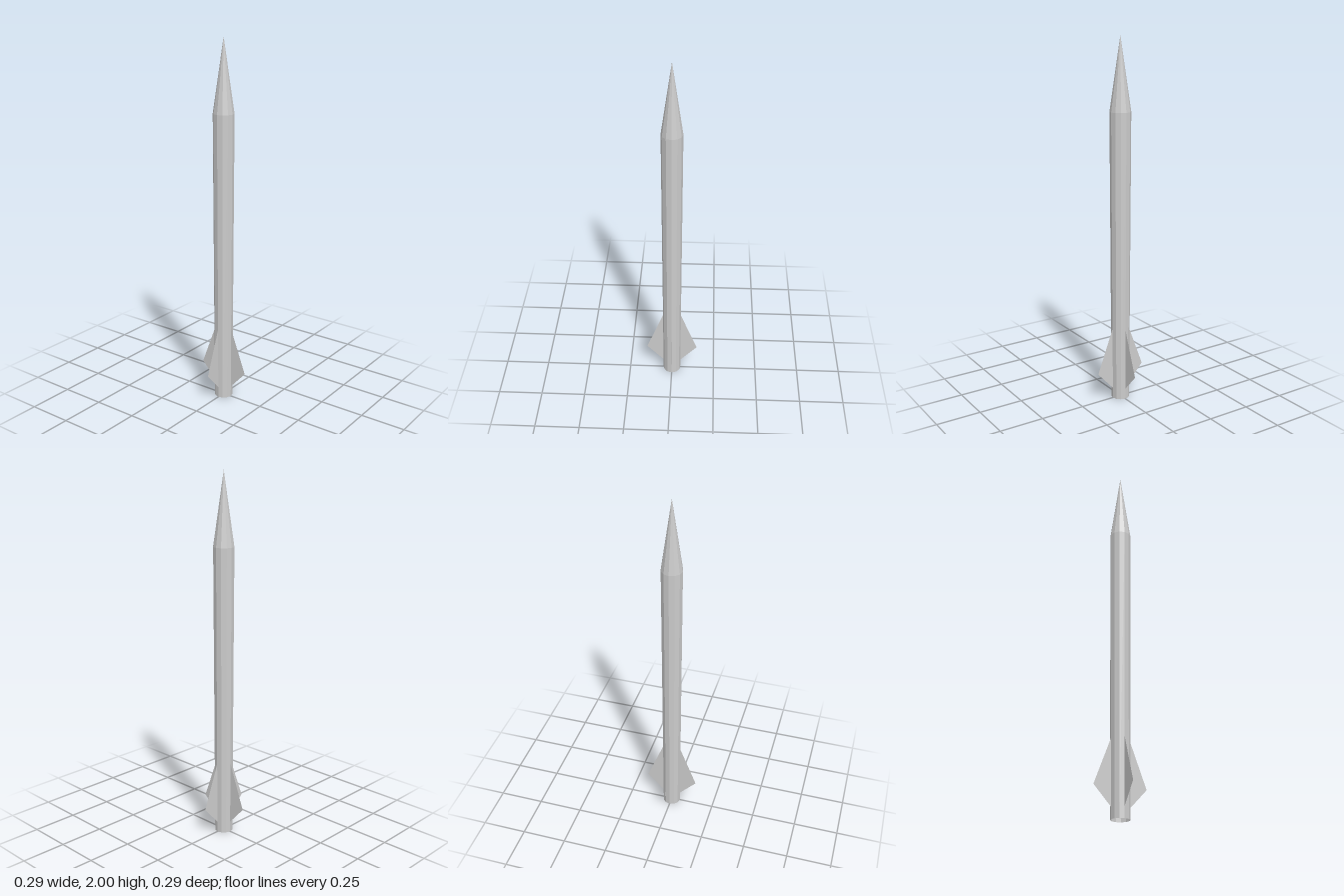
import * as THREE from 'three';

export function createModel() {
  const model = new THREE.Group();
  const material = new THREE.MeshStandardMaterial({
    color: 0xcccccc, flatShading: true, side: THREE.DoubleSide,
  });
  const SIDES = 12, TOP_R = 0.057, BASE_R = 0.05, SHOULDER = 1.61;

  function add(name, geometry, y = 0) {
    const mesh = new THREE.Mesh(geometry, material);
    mesh.name = name;
    mesh.position.y = y;
    model.add(mesh);
    return mesh;
  }

  // Slightly tapered tube, open at the tail
  add('body', new THREE.CylinderGeometry(TOP_R, BASE_R, SHOULDER, SIDES, 1, true), SHOULDER / 2);

  // Pointed nose
  const noseHeight = 2 - SHOULDER;
  add('nose', new THREE.ConeGeometry(TOP_R, noseHeight, SIDES, 1, true), SHOULDER + noseHeight / 2);

  // Four thin fins that meet on the axis inside the tube
  const finShape = new THREE.Shape([
    new THREE.Vector2(0, 0.005),
    new THREE.Vector2(0.146, 0.165),
    new THREE.Vector2(0, 0.55),
  ]);
  const finGeometry = new THREE.ShapeGeometry(finShape);
  for (let i = 0; i < 4; i++) {
    add('fin', finGeometry).rotation.y = i * Math.PI / 2;
  }

  return model;
}
